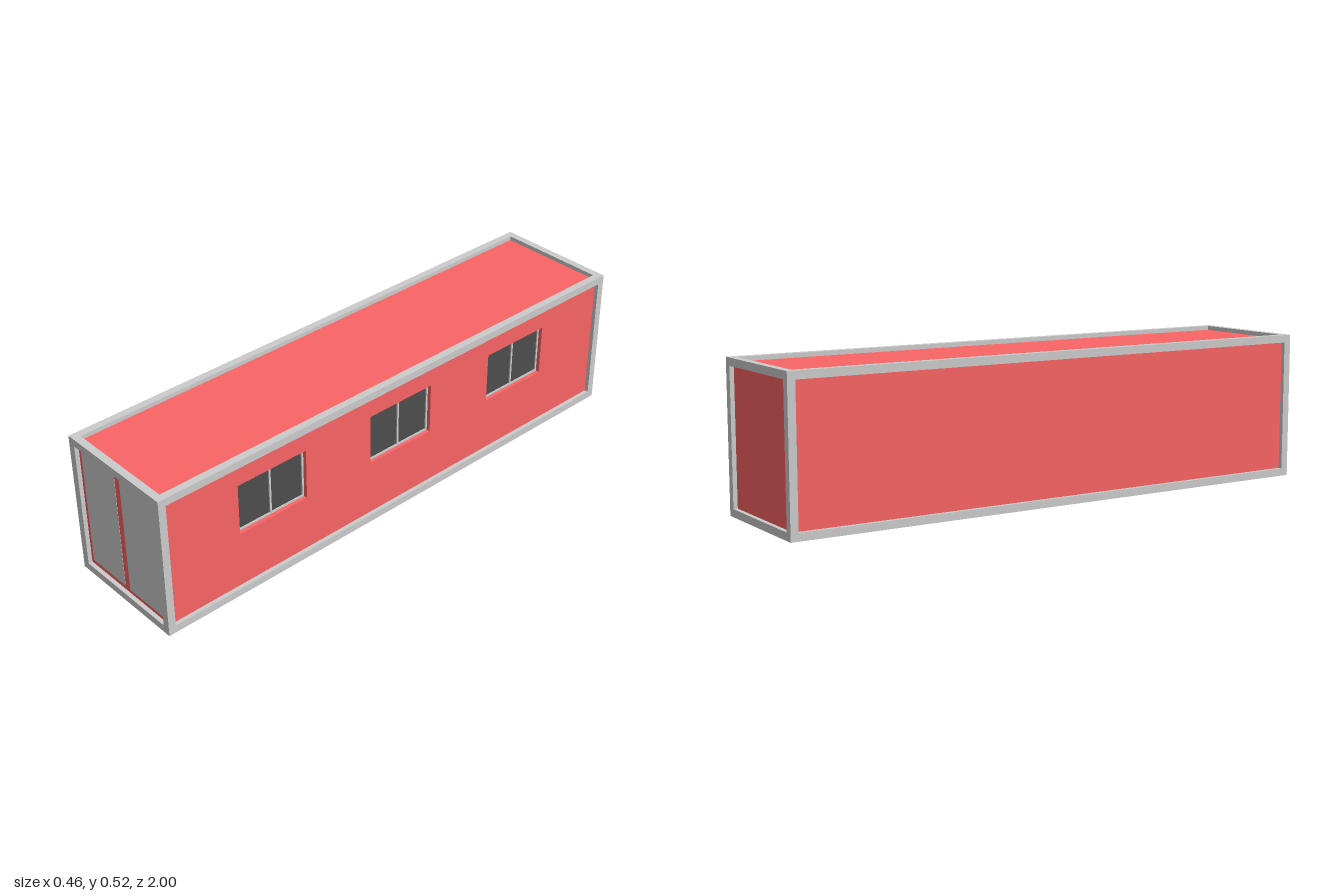
import * as THREE from 'three';

const W = 0.46, H = 0.52, L = 2;   // overall size
const B = 0.027;                   // frame beam thickness
const INSET = 0.015;               // panels sit behind the frame
const REVEAL = 0.014;              // window recess depth

const grey = new THREE.MeshStandardMaterial({ color: 0xcccccc });
const red = new THREE.MeshStandardMaterial({ color: 0xfa6464 });
const glass = new THREE.MeshStandardMaterial({ color: 0x4d4d4d });

function box(parent, name, material, size, position) {
  const mesh = new THREE.Mesh(new THREE.BoxGeometry(...size), material);
  mesh.name = name;
  mesh.position.set(...position);
  parent.add(mesh);
  return mesh;
}

function rect(target, x0, y0, x1, y1) {
  target.moveTo(x0, y0);
  target.lineTo(x1, y0);
  target.lineTo(x1, y1);
  target.lineTo(x0, y1);
  target.closePath();
  return target;
}

// Twelve beams along the edges of the box
function createFrame() {
  const frame = new THREE.Group();
  frame.name = 'frame';
  const x = (W - B) / 2, z = (L - B) / 2, yLow = B / 2, yHigh = H - B / 2;
  for (const s of [-1, 1]) {
    for (const t of [-1, 1]) {
      box(frame, 'cornerPost', grey, [B, H, B], [s * x, H / 2, t * z]);
      const y = t < 0 ? yLow : yHigh;
      box(frame, 'sideRail', grey, [B, B, L - 2 * B], [s * x, y, 0]);
      box(frame, 'endRail', grey, [W - 2 * B, B, B], [0, y, s * z]);
    }
  }
  return frame;
}

// Double window, built facing +z around its centre with its back at z = 0
function createWindow(w, h) {
  const win = new THREE.Group();
  win.name = 'window';
  const bar = 0.007, depth = 0.006;
  box(win, 'pane', glass, [w, h, 0.002], [0, 0, 0.001]);
  for (const s of [-1, 1]) {
    box(win, 'windowJamb', grey, [bar, h, depth], [s * (w - bar) / 2, 0, depth / 2]);
    box(win, 'windowRail', grey, [w - 2 * bar, bar, depth], [0, s * (h - bar) / 2, depth / 2]);
  }
  box(win, 'windowMullion', grey, [bar, h - 2 * bar, depth], [0, 0, depth / 2]);
  return win;
}

export function createModel() {
  const model = new THREE.Group();
  model.name = 'containerCabin';
  model.add(createFrame());

  // Body, stopping short of the left side where the window wall goes
  const bx = W / 2 - INSET, bodyRight = bx - REVEAL - 0.006;
  box(model, 'body', red,
    [bx + bodyRight, H - 2 * INSET, L - 2 * INSET],
    [(bodyRight - bx) / 2, H / 2, 0]);

  // Window wall with three openings
  const winW = 0.277, winH = 0.187, winY = 0.323, winZ = [-0.556, 0, 0.556];
  const outline = rect(new THREE.Shape(), -L / 2 + INSET, INSET, L / 2 - INSET, H - INSET);
  for (const c of winZ) {
    outline.holes.push(rect(new THREE.Path(),
      c - winW / 2, winY - winH / 2, c + winW / 2, winY + winH / 2));
  }
  const wall = new THREE.Mesh(
    new THREE.ExtrudeGeometry(outline, { depth: bx - bodyRight, bevelEnabled: false }), red);
  wall.name = 'windowWall';
  wall.rotation.y = Math.PI / 2;
  wall.position.x = bodyRight;
  model.add(wall);

  for (const c of winZ) {
    const win = createWindow(winW, winH);
    win.rotation.y = Math.PI / 2;
    win.position.set(bodyRight, winY, c);
    model.add(win);
  }

  // Pair of front doors, almost flush with the end wall
  const doorZ = L / 2 - INSET;
  box(model, 'rightDoor', grey, [0.174, 0.435, 0.002], [-0.103, 0.26, doorZ]);
  box(model, 'leftDoor', grey, [0.178, 0.438, 0.002], [0.099, 0.26, doorZ]);

  return model;
}
